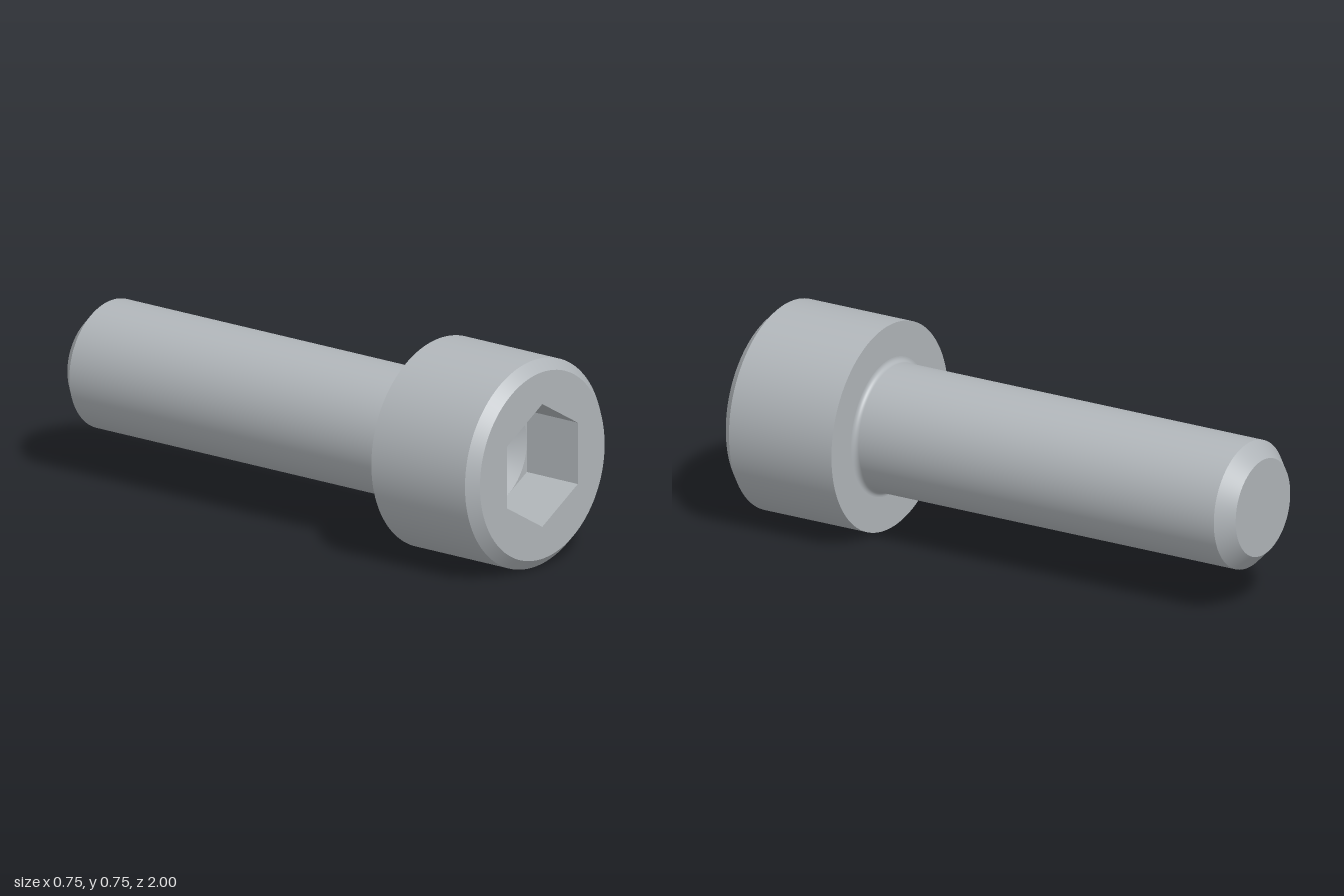
import * as THREE from 'three';
import { mergeGeometries } from 'three/addons/utils/BufferGeometryUtils.js';

const SEG = 128;
const HEAD_R = 0.375, HEAD_FACE_R = 0.338, HEAD_BACK = 0.54;
const SHANK_R = 0.23, TIP_R = 0.175, TIP_Z = -0.945, FILLET = 0.019;
const HEX_APOTHEM = 0.1925, SOCKET_DEPTH = 0.23, CONE_DEPTH = 0.111;
const HEX_R = HEX_APOTHEM / Math.cos(Math.PI / 6);

export function createModel() {
  const steel = new THREE.MeshStandardMaterial({ color: 0xb0b5b9 });
  steel.name = 'steel';

  const bolt = new THREE.Group();
  bolt.name = 'socketHeadBolt';
  bolt.position.y = HEAD_R;

  const add = (name, geometry) => {
    const mesh = new THREE.Mesh(geometry, steel);
    mesh.name = name;
    bolt.add(mesh);
  };

  // Surface of revolution about z; each call is one smooth face, so edges between calls stay sharp
  const revolve = (name, profile) => {
    const points = profile.map(([r, z]) => new THREE.Vector2(r, z));
    add(name, new THREE.LatheGeometry(points, SEG).rotateX(Math.PI / 2));
  };

  const circle = (r) => new THREE.Path().absarc(0, 0, r, 0, Math.PI * 2, true);
  const hexagon = () => Array.from({ length: 6 }, (_, i) => {
    const a = Math.PI / 2 + i * Math.PI / 3;
    return new THREE.Vector2(Math.cos(a) * HEX_R, Math.sin(a) * HEX_R);
  });

  // Shank, from the tip to the fillet under the head
  const shank = [[SHANK_R, TIP_Z], [SHANK_R, HEAD_BACK - FILLET]];
  for (let i = 1; i <= 8; i++) {
    const a = (i / 8) * Math.PI / 2;
    shank.push([SHANK_R + FILLET * (1 - Math.cos(a)), HEAD_BACK - FILLET * (1 - Math.sin(a))]);
  }
  revolve('tipFace', [[0, -1], [TIP_R, -1]]);
  revolve('tipChamfer', [[TIP_R, -1], [SHANK_R, TIP_Z]]);
  revolve('shank', shank);

  // Head
  const chamferZ = 1 - (HEAD_R - HEAD_FACE_R);
  revolve('headUnderside', [[SHANK_R + FILLET, HEAD_BACK], [HEAD_R, HEAD_BACK]]);
  revolve('headSide', [[HEAD_R, HEAD_BACK], [HEAD_R, chamferZ]]);
  revolve('headChamfer', [[HEAD_R, chamferZ], [HEAD_FACE_R, 1]]);

  const face = new THREE.Shape().absarc(0, 0, HEAD_FACE_R, 0, Math.PI * 2, false);
  face.holes.push(new THREE.Path(hexagon().reverse()));
  add('headFace', new THREE.ShapeGeometry(face, SEG / 2).translate(0, 0, 1));

  // Hexagonal socket: six inward walls, a flat floor and a drilled cone
  const walls = [];
  for (let i = 0; i < 6; i++) {
    walls.push(new THREE.PlaneGeometry(HEX_R, SOCKET_DEPTH)
      .rotateX(-Math.PI / 2)
      .translate(0, -HEX_APOTHEM, 1 - SOCKET_DEPTH / 2)
      .rotateZ(Math.PI / 6 + i * Math.PI / 3));
  }
  add('socketWalls', mergeGeometries(walls));

  const floorZ = 1 - SOCKET_DEPTH, coneR = HEX_APOTHEM - 0.0005;
  const floor = new THREE.Shape(hexagon());
  floor.holes.push(circle(coneR));
  add('socketFloor', new THREE.ShapeGeometry(floor, SEG / 2).translate(0, 0, floorZ));
  revolve('socketCone', [[coneR, floorZ], [0, floorZ - CONE_DEPTH]]);

  const model = new THREE.Group();
  model.name = 'model';
  model.add(bolt);
  return model;
}
